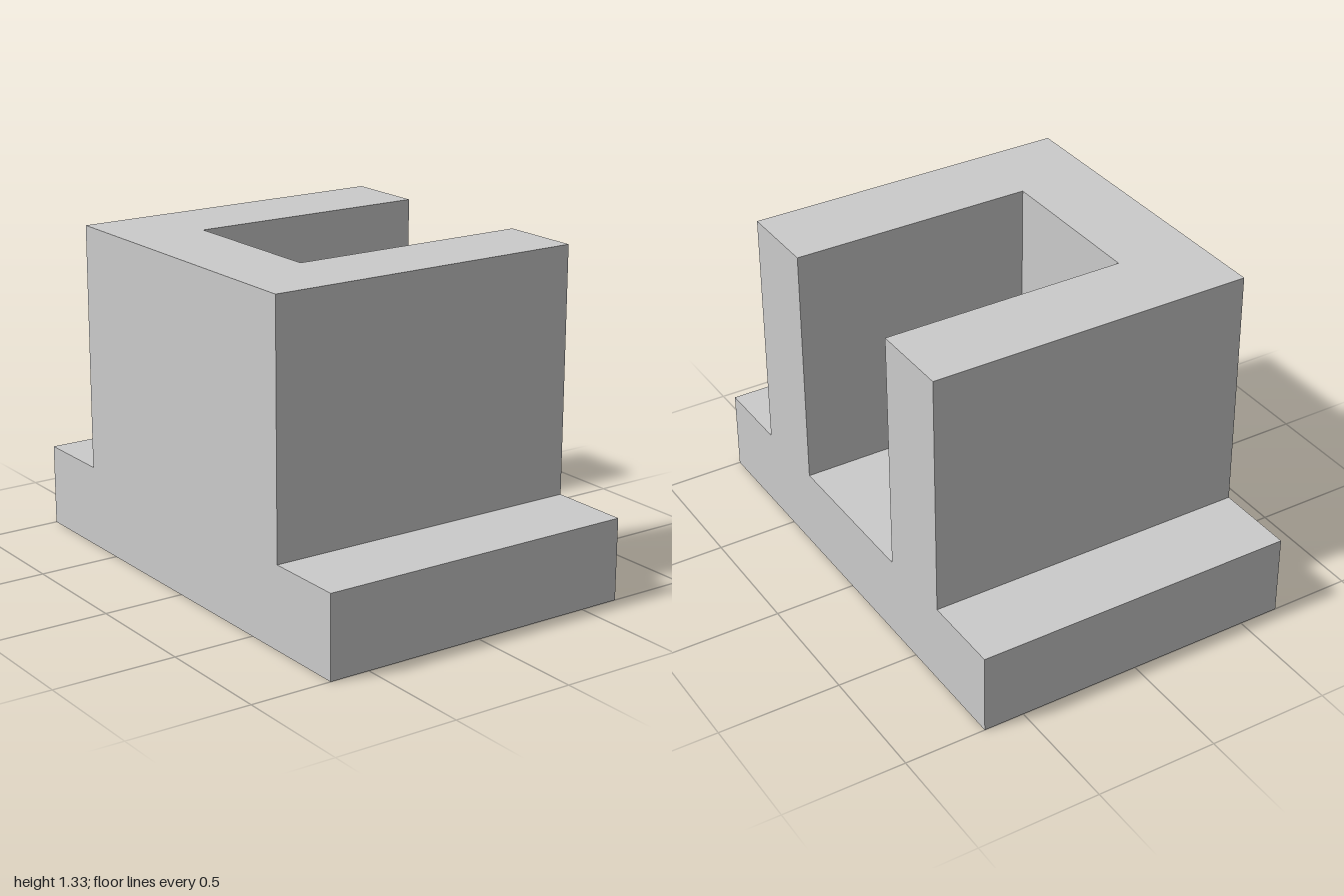
import * as THREE from 'three';

const U = 1 / 3; // every dimension is a multiple of this unit

export function createModel() {
  const group = new THREE.Group();
  const material = new THREE.MeshStandardMaterial({ color: 0xcccccc, flatShading: true });

  const add = (name, geometry) => {
    const mesh = new THREE.Mesh(geometry, material);
    mesh.name = name;
    group.add(mesh);
  };

  // Base slab, extending past the walls at front and back
  add('base', new THREE.BoxGeometry(4 * U, U, 6 * U).translate(0, U / 2, 0));

  // U-shaped wall standing on the base, open towards +x
  const plan = [[-2, -2], [2, -2], [2, -1], [-1, -1], [-1, 1], [2, 1], [2, 2], [-2, 2]];
  const shape = new THREE.Shape(plan.map(([x, z]) => new THREE.Vector2(x * U, z * U)));
  const wall = new THREE.ExtrudeGeometry(shape, { depth: 3 * U, bevelEnabled: false });
  add('channelWall', wall.rotateX(-Math.PI / 2).translate(0, U, 0));

  return group;
}
